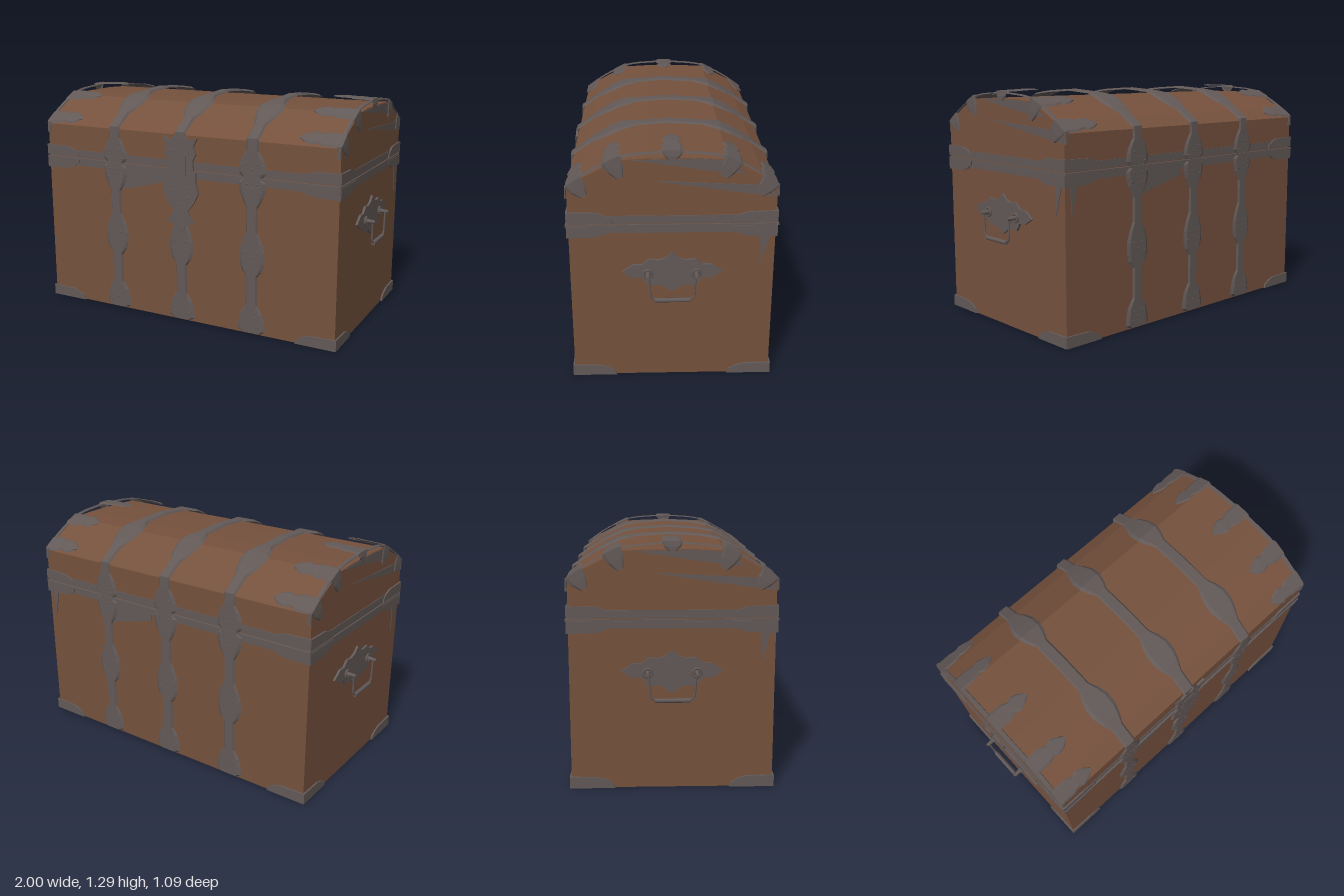
import * as THREE from 'three';

const X = 0.93, Z = 0.523; // half width and half depth of the chest

export function createModel() {
  const wood = new THREE.MeshStandardMaterial({ color: 0x75513d });
  wood.name = 'brown wood';
  const metal = new THREE.MeshStandardMaterial({ color: 0x625957, side: THREE.DoubleSide });
  metal.name = 'grey iron';

  const root = new THREE.Group();
  root.name = 'chest';
  const add = (parent, name, geo, mat, x = 0, y = 0, z = 0) => {
    const m = new THREE.Mesh(geo, mat);
    m.name = name;
    m.position.set(x, y, z);
    parent.add(m);
    return m;
  };
  const group = (name, parent = root) => {
    const g = new THREE.Group();
    g.name = name;
    parent.add(g);
    return g;
  };

  // Flat plate cut from an outline, centred on its thickness
  const plate = (pts, sx = 1, sy = 1, depth = 0.012) => {
    const shape = new THREE.Shape(pts.map(([x, y]) => new THREE.Vector2(x * sx, y * sy)));
    return new THREE.ExtrudeGeometry(shape, { depth, bevelEnabled: false }).translate(0, 0, -depth / 2);
  };
  const endPlate = (pts, depth) => plate(pts, 1, 1, depth).rotateY(-Math.PI / 2);
  const mirrored = (half) => [...half, ...half.slice(1, -1).reverse().map(([x, y]) => [-x, y])];

  // Bevelled strip following a path of [z, y, half width]
  const ribbon = (path, h = 0.01) => {
    const pos = [], idx = [];
    path.forEach(([z, y, w], i) => {
      const a = path[Math.max(i - 1, 0)], b = path[Math.min(i + 1, path.length - 1)];
      const n = new THREE.Vector2(b[1] - a[1], a[0] - b[0]).normalize().multiplyScalar(h);
      pos.push(-w, y, z, -w * 0.75, y + n.y, z + n.x, w * 0.75, y + n.y, z + n.x, w, y, z);
      if (i) for (let k = 0; k < 3; k++) {
        const p = (i - 1) * 4 + k, q = p + 4;
        idx.push(p, p + 1, q + 1, p, q + 1, q);
      }
    });
    const g = new THREE.BufferGeometry();
    g.setAttribute('position', new THREE.Float32BufferAttribute(pos, 3));
    g.setIndex(idx);
    const flat = g.toNonIndexed();
    flat.computeVertexNormals();
    return flat;
  };

  // Wooden body and faceted lid
  add(root, 'body', new THREE.BoxGeometry(2 * X, 0.885, 2 * Z), wood, 0, 0.4435, 0);
  const lidShape = new THREE.Shape([[-Z, 0.895], [Z, 0.895], [Z, 1.09], [0.45, 1.145], [0.27, 1.238],
    [0.12, 1.246], [-0.12, 1.246], [-0.27, 1.238], [-0.45, 1.145], [-Z, 1.09]].map(p => new THREE.Vector2(...p)));
  add(root, 'lid', new THREE.ExtrudeGeometry(lidShape, { depth: 2 * X, bevelEnabled: false })
    .translate(0, 0, -X).rotateY(Math.PI / 2), wood);

  // Edge bands around body and lid
  add(root, 'bodyBand', new THREE.BoxGeometry(1.868, 0.035, 1.054), metal, 0, 0.867, 0);
  add(root, 'lidBand', new THREE.BoxGeometry(1.868, 0.042, 1.054), metal, 0, 0.922, 0);
  add(root, 'seam', new THREE.BoxGeometry(1.874, 0.01, 1.076), metal, 0, 0.891, 0);

  // Corner shoes on the base, the body top and the lid bottom
  const shoe = [[0, 0], [-0.235, 0], [-0.225, 0.025], [-0.19, 0.045], [-0.15, 0.058], [0, 0.062]];
  const sole = [[0, 0], [-0.23, 0], [-0.2, 0.06], [-0.13, 0.1], [-0.09, 0.18], [0, 0.22]];
  for (const sx of [-1, 1]) for (const sz of [-1, 1]) {
    const corner = group('corner');
    for (const [y, sy] of [[0, 1], [0.887, -1], [0.903, 1]]) {
      add(corner, 'cornerFront', plate(shoe, sx, sy, 0.02), metal, sx * 0.937, y, sz * Z);
      add(corner, 'cornerSide', plate(shoe, sz, sy, 0.02).rotateY(-Math.PI / 2), metal, sx * X, y, sz * 0.532);
    }
    add(corner, 'cornerSole', plate(sole, sx, -sz, 0.006).rotateX(Math.PI / 2).scale(1, 1, 1),
      metal, sx * 0.937, 0.002, sz * 0.532).scale.setScalar(1);
  }

  // Straps: front, back and over the lid
  const bodyPath = [[0.01, 0.06], [0.025, 0.085], [0.07, 0.08], [0.12, 0.068], [0.17, 0.035], [0.34, 0.035],
    [0.38, 0.065], [0.42, 0.076], [0.48, 0.076], [0.53, 0.062], [0.59, 0.035], [0.73, 0.035],
    [0.79, 0.068], [0.83, 0.08], [0.865, 0.082], [0.885, 0.06]].map(([y, w]) => [0.527, y, w]);
  const halfLid = [[0.527, 0.897, 0.06], [0.527, 0.92, 0.082], [0.527, 0.96, 0.078], [0.527, 1.0, 0.062],
    [0.527, 1.04, 0.036], [0.527, 1.1, 0.036], [0.43, 1.167, 0.036], [0.38, 1.196, 0.06], [0.33, 1.222, 0.076],
    [0.27, 1.25, 0.076], [0.22, 1.26, 0.06], [0.17, 1.267, 0.036], [0, 1.278, 0.036]];
  const mirrorPath = (half) => [...half, ...half.slice(0, -1).reverse().map(([z, y, w]) => [-z, y, w])];
  const bodyStrap = ribbon(bodyPath), lidStrap = ribbon(mirrorPath(halfLid));
  const rivet = new THREE.ConeGeometry(0.009, 0.005, 6).rotateX(Math.PI / 2);
  for (const x of [-0.445, -0.005, 0.44]) {
    const strap = group('strap');
    add(strap, 'lidStrap', lidStrap, metal, x);
    for (const s of [1, -1]) {
      const side = group('bodyStrap', strap);
      side.position.x = x;
      side.rotation.y = s > 0 ? 0 : Math.PI;
      add(side, 'strapBand', bodyStrap, metal);
      for (const y of [0.07, 0.45, 0.83, 0.94])
        for (const [dx, dy] of [[-0.045, -0.02], [0.045, -0.02], [-0.03, 0.03], [0.03, 0.03], [0, 0]])
          add(side, 'rivet', rivet, metal, dx, y + dy, 0.5385);
    }
  }

  // Lock plates and hasp
  const lock = group('lock');
  add(lock, 'lockPlate', plate(mirrored([[0, 0.54], [0.035, 0.57], [0.085, 0.6], [0.06, 0.63], [0.045, 0.66],
    [0.085, 0.71], [0.115, 0.77], [0.1, 0.83], [0.1, 0.887], [0, 0.887]])), metal, 0, 0, 0.537);
  add(lock, 'haspPlate', plate(mirrored([[0, 0.895], [0.085, 0.895], [0.08, 0.95], [0.1, 0.99], [0.085, 1.03],
    [0.11, 1.08], [0.06, 1.06], [0.03, 1.09], [0, 1.06]])), metal, 0, 0, 0.537);
  add(lock, 'hasp', new THREE.BoxGeometry(0.08, 0.16, 0.008), metal, 0, 0.9, 0.543);
  for (const [x, y] of [[-0.06, 0.8], [0.06, 0.8], [-0.05, 0.74], [0.05, 0.74], [0, 0.6], [-0.06, 1.0], [0.06, 1.0], [0, 0.7]])
    add(lock, 'rivet', rivet, metal, x, y, 0.5445);

  // Ends: carrying handle, arched rim, folded tongues and sheet gussets
  const tongueTop = [[-0.09, 0.003, 0.052], [-0.13, 0.005, 0.036], [-0.16, 0.006, 0.05],
    [-0.2, 0.006, 0.035], [-0.235, 0.004, 0.008]];
  const tongue = (drop) => ribbon([[0.002, -drop, 0.018], [0.002, -drop * 0.5, 0.042], [0.002, 0, 0.052], ...tongueTop], 0.006)
    .rotateY(Math.PI / 2);
  const handlePlate = endPlate(mirrored([[0, 0.11], [0.03, 0.08], [0.07, 0.066], [0.12, 0.072], [0.155, 0.04],
    [0.2, 0.04], [0.26, 0], [0.2, -0.035], [0.155, -0.035], [0.125, -0.08], [0.06, -0.075], [0, -0.115]]), 0.014);
  const bail = new THREE.CatmullRomCurve3([[-0.12, 0.62], [-0.115, 0.56], [-0.105, 0.5], [-0.05, 0.487],
    [0.05, 0.487], [0.105, 0.5], [0.115, 0.56], [0.12, 0.62]].map(([z, y]) => new THREE.Vector3(0.983, y, z)));
  const rimPath = mirrorPath(halfLid.slice(4).map(([z, y]) => [z, y - 0.002, 0.012]));
  for (const s of [1, -1]) {
    const end = group(s > 0 ? 'leftEnd' : 'rightEnd');
    end.rotation.y = s > 0 ? 0 : Math.PI;
    add(end, 'lidRim', ribbon(rimPath, 0.006), metal, 0.92);
    for (const [z, y, tilt, drop] of [[0, 1.282, 0, 0.045], [0.3, 1.237, 0.45, 0.1], [-0.3, 1.237, -0.45, 0.1],
      [0.488, 1.125, 0.62, 0.09], [-0.488, 1.125, -0.62, 0.09]])
      add(end, 'tongue', tongue(drop), metal, X, y, z).rotation.x = tilt;
    add(end, 'lidGusset', endPlate([[0.1, 1.13], [-0.5, 1.1], [-0.52, 1.04], [-0.3, 1.07]], 0.004), metal, 0.931);
    add(end, 'upperGusset', endPlate([[0.2, 1.238], [-0.12, 1.243], [-0.27, 1.232], [-0.36, 1.165], [-0.26, 1.17]], 0.004),
      metal, 0.931);
    add(end, 'bodyGusset', endPlate([[-0.445, 0.84], [-0.5, 0.84], [-0.455, 0.675]], 0.004), metal, 0.931);
    const handle = group('handle', end);
    add(handle, 'handlePlate', handlePlate, metal, 0.936, 0.63, 0);
    add(handle, 'bail', new THREE.TubeGeometry(bail, 28, 0.006, 6), metal);
    add(handle, 'grip', new THREE.CylinderGeometry(0.012, 0.012, 0.18, 8).rotateX(Math.PI / 2), metal, 0.983, 0.487, 0);
    for (const z of [-0.125, 0.125]) {
      add(handle, 'post', new THREE.CylinderGeometry(0.009, 0.015, 0.06, 8).rotateZ(-Math.PI / 2), metal, 0.97, 0.622, z);
      add(handle, 'eye', new THREE.TorusGeometry(0.022, 0.007, 6, 12).rotateY(Math.PI / 2), metal, 0.948, 0.622, z);
    }
  }

  // Sheet gussets below the body band
  const gusset = [[-0.42, 0.86], [-0.42, 0.735], [-0.1, 0.815], [-0.1, 0.86]];
  add(root, 'frontGusset', plate(gusset, 1, 1, 0.004), metal, 0, 0, 0.525);
  add(root, 'backGusset', plate(gusset, -1, 1, 0.004), metal, 0, 0, -0.525);
  add(root, 'backSpike', plate([[0.9, 0.84], [0.85, 0.84], [0.89, 0.675]], 1, 1, 0.004), metal, 0, 0, -0.525);
  return root;
}
